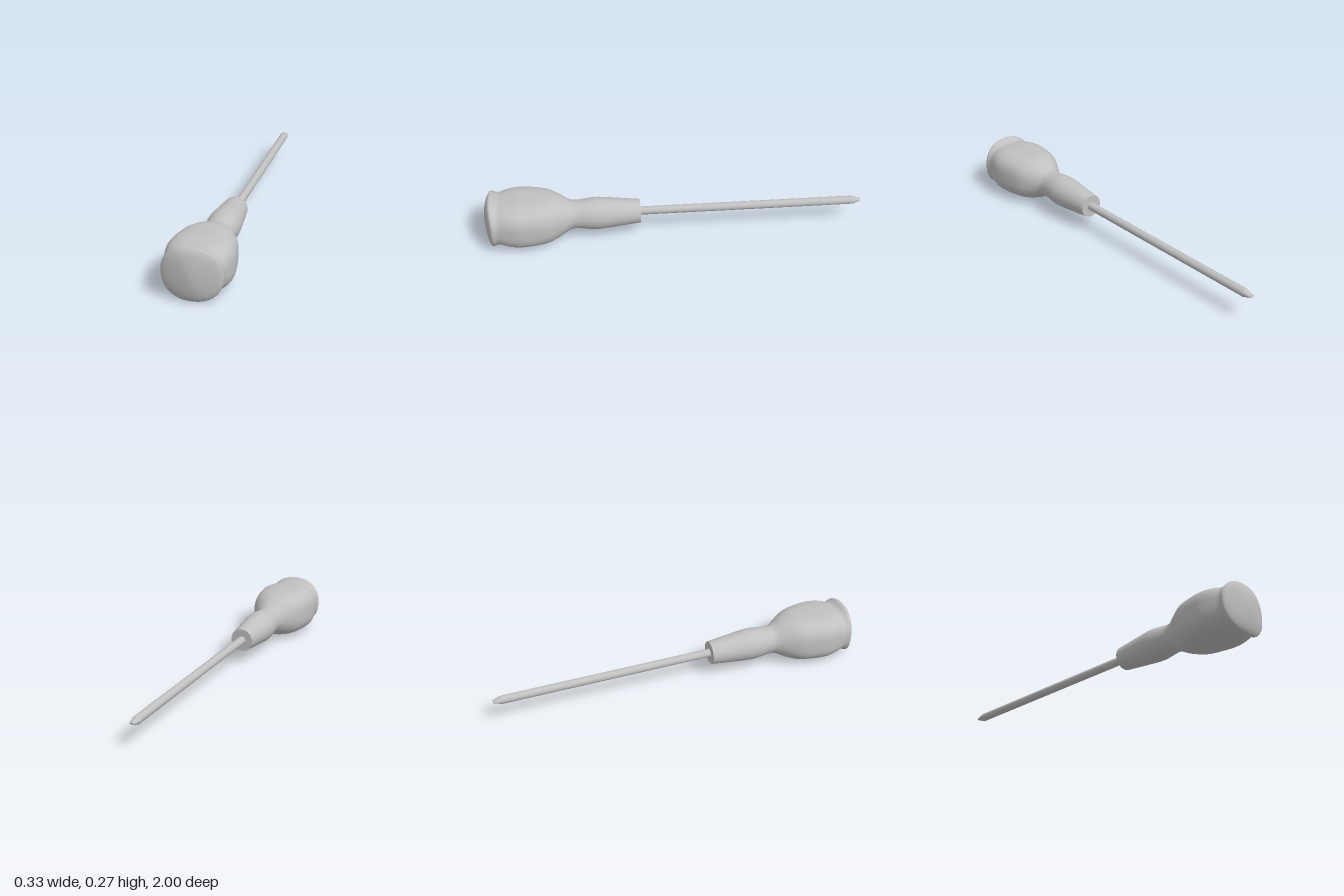
import * as THREE from 'three';

const AXIS_Y = 0.136;
const smooth = THREE.MathUtils.smoothstep;

// Surface through superelliptic rings; each ring is [z, rx, ry, exponent], z rising
function loft(rings, sides) {
  const pos = [], index = [];
  for (const [z, rx, ry, n] of rings) {
    for (let j = 0; j < sides; j++) {
      const a = (j / sides) * Math.PI * 2, c = Math.cos(a), s = Math.sin(a);
      pos.push(
        Math.sign(c) * Math.pow(Math.abs(c), 2 / n) * rx,
        Math.sign(s) * Math.pow(Math.abs(s), 2 / n) * ry,
        z
      );
    }
  }
  for (let i = 0; i < rings.length - 1; i++) {
    for (let j = 0; j < sides; j++) {
      const k = (j + 1) % sides;
      const a = i * sides + j, b = i * sides + k;
      index.push(a, b, b + sides, a, b + sides, a + sides);
    }
  }
  const g = new THREE.BufferGeometry();
  g.setAttribute('position', new THREE.Float32BufferAttribute(pos, 3));
  g.setIndex(index);
  g.computeVertexNormals();
  return g;
}

export function createModel() {
  const group = new THREE.Group();
  const grey = new THREE.MeshStandardMaterial({ color: 0xc0c0c0 });
  grey.name = 'plain grey';

  const add = (name, geometry) => {
    const mesh = new THREE.Mesh(geometry, grey);
    mesh.name = name;
    mesh.position.y = AXIS_Y;
    group.add(mesh);
    return mesh;
  };

  // Handle: round neck swelling to a squarish grip, then a flared domed end
  const profile = [
    [0.18, 0.062, 0.062], [0.3, 0.075, 0.075], [0.42, 0.085, 0.085],
    [0.52, 0.075, 0.075], [0.55, 0.081, 0.08], [0.6, 0.11, 0.105],
    [0.66, 0.141, 0.122], [0.73, 0.157, 0.124], [0.82, 0.167, 0.125],
    [0.88, 0.157, 0.119], [0.925, 0.147, 0.116], [0.952, 0.149, 0.133],
    [0.963, 0.138, 0.135], [0.976, 0.107, 0.122], [0.988, 0.065, 0.09],
    [0.996, 0.03, 0.048], [1, 0.0005, 0.0005]
  ];
  const curve = new THREE.CatmullRomCurve3(
    profile.map(([z, rx, ry]) => new THREE.Vector3(rx, ry, z)));
  const steps = (profile.length - 1) * 5;
  const rings = [];
  for (let i = 0; i <= steps; i++) {
    const p = curve.getPoint(i / steps);
    const n = 2 + smooth(p.z, 0.54, 0.76) - 0.65 * smooth(p.z, 0.86, 0.95);
    rings.push([p.z, p.x, p.y, n]);
  }
  add('handle', loft(rings, 64));

  // Flat face where the shaft enters the handle
  const face = add('handleFace', new THREE.CircleGeometry(0.062, 64));
  face.rotation.y = Math.PI;
  face.position.z = 0.18;

  // Round steel shaft
  add('shaft', loft([[-0.955, 0.022, 0.022, 2], [0.2, 0.022, 0.022, 2]], 24));

  // Tapered tip with a small blunt end
  add('tip', loft([[-1, 0.012, 0.006, 2], [-0.955, 0.022, 0.022, 2]], 24));
  const end = add('tipEnd', new THREE.CircleGeometry(1, 24));
  end.scale.set(0.012, 0.006, 1);
  end.rotation.y = Math.PI;
  end.position.z = -1;

  return group;
}
